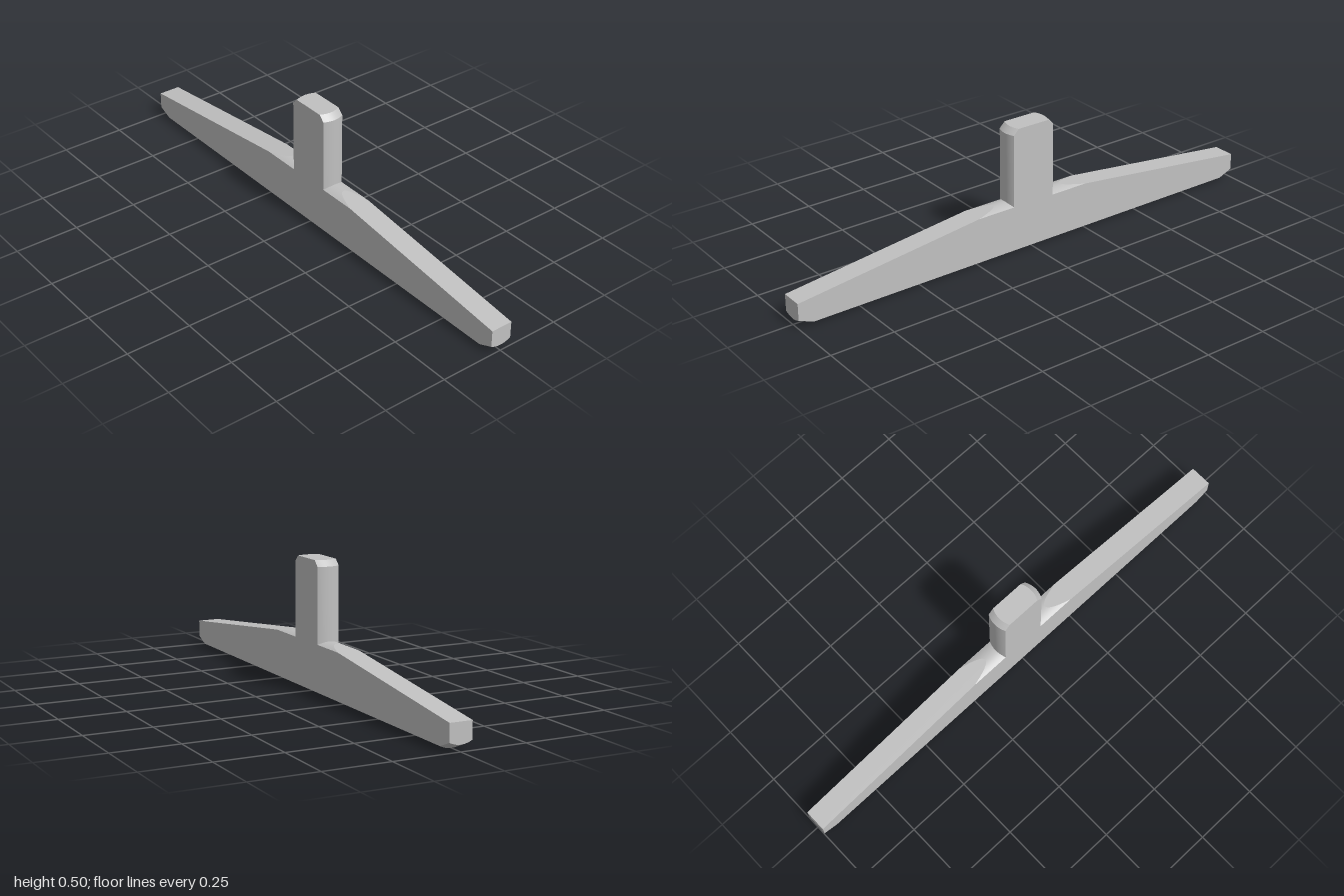
import * as THREE from 'three';

const HALF_DEPTH = 0.043; // half the plate thickness
const BULGE = 0.011;      // how far the rounded edges swell at mid thickness
const SLICES = 16;

// Counter-clockwise outline of the T shape at depth z; rounded edges pull in by d.
function outline(z) {
  const d = BULGE * (z / HALF_DEPTH) ** 2;
  const half = [
    [0.943, d],                        // underside, start of end chamfer
    [1, 0.024 + d],                    // top of end chamfer
    [1, 0.1],                          // blunt tip
    [1 - (0.1 - d) / 0.118, 0.2 - d],  // slope meets the shoulder
    [0.1 - d, 0.2 - d],                // foot of the stem
    [0.1 - d, 0.475],                  // stem chamfer
    [0.078 - d, 0.497],                // stem top
  ];
  const points = half.map(([x, y]) => new THREE.Vector2(x, y));
  const mirrored = half.map(([x, y]) => new THREE.Vector2(-x, y)).reverse();
  return [...points, ...mirrored];
}

// Lofts the outline through the thickness: smooth along z, sharp at outline corners.
function createPlateGeometry() {
  const slices = [];
  for (let j = 0; j <= SLICES; j++) {
    const z = HALF_DEPTH * (2 * j / SLICES - 1);
    slices.push({ z, points: outline(z) });
  }
  const positions = [];
  const index = [];
  const count = slices[0].points.length;

  // One strip per outline edge
  for (let i = 0; i < count; i++) {
    const start = positions.length / 3;
    for (const { z, points } of slices) {
      const a = points[i], b = points[(i + 1) % count];
      positions.push(a.x, a.y, z, b.x, b.y, z);
    }
    for (let j = 0; j < SLICES; j++) {
      const k = start + j * 2;
      index.push(k, k + 1, k + 3, k, k + 3, k + 2);
    }
  }

  // Flat back and front faces
  for (const { z, points } of [slices[0], slices[SLICES]]) {
    const start = positions.length / 3;
    for (const p of points) positions.push(p.x, p.y, z);
    for (const [a, b, c] of THREE.ShapeUtils.triangulateShape(points, [])) {
      if (z > 0) index.push(start + a, start + b, start + c);
      else index.push(start + a, start + c, start + b);
    }
  }

  const geometry = new THREE.BufferGeometry();
  geometry.setAttribute('position', new THREE.Float32BufferAttribute(positions, 3));
  geometry.setIndex(index);
  geometry.computeVertexNormals();
  return geometry;
}

export function createModel() {
  const group = new THREE.Group();
  group.name = 'taperedTeeBar';
  const grey = new THREE.MeshStandardMaterial({ color: 0xc0c0c0 });
  grey.name = 'plain grey';

  // Tapered crossbar and stem in one solid piece
  const bar = new THREE.Mesh(createPlateGeometry(), grey);
  bar.name = 'crossbarWithStem';
  group.add(bar);
  return group;
}
